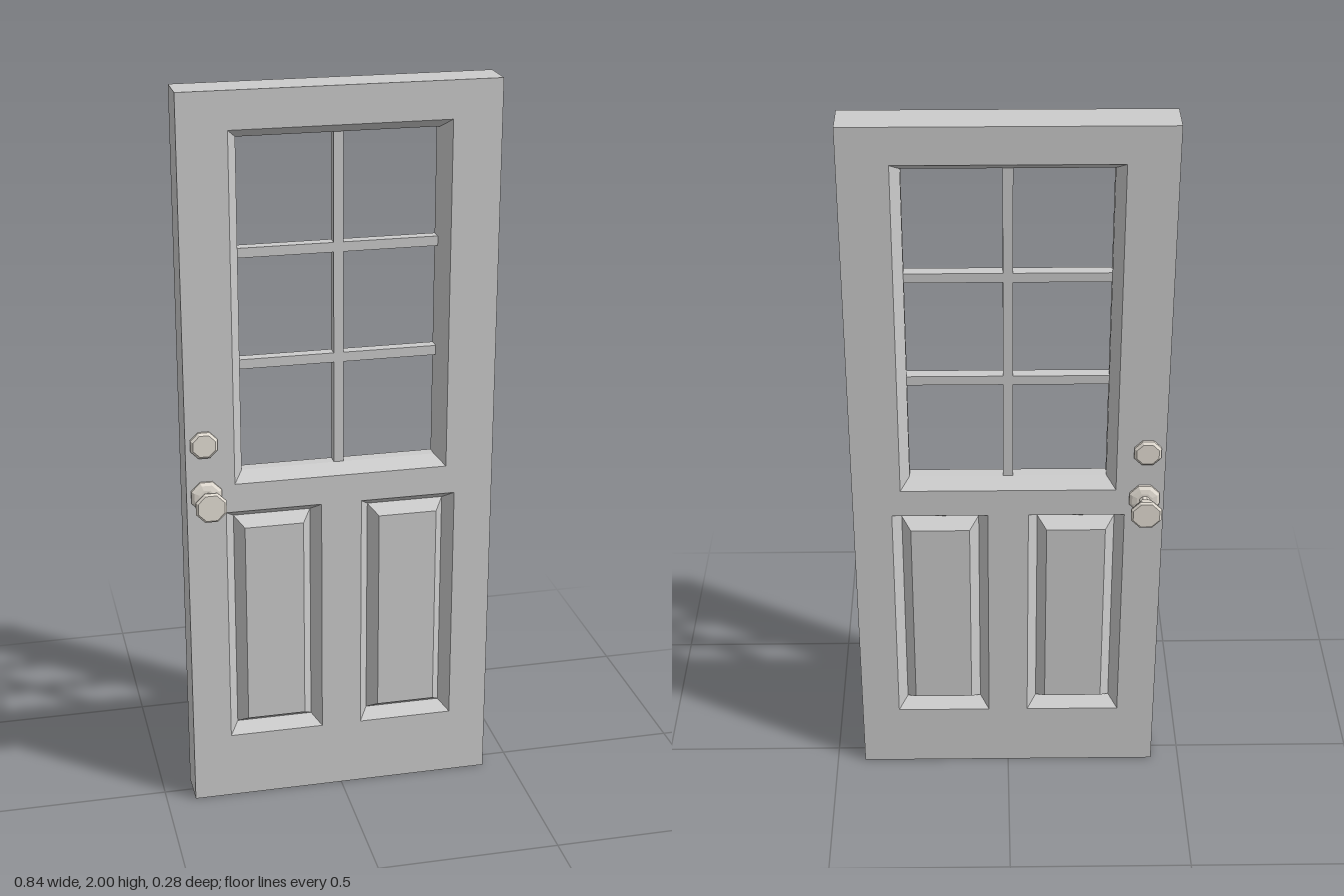
import * as THREE from 'three';

const W = 0.42, H = 2, D = 0.053; // half width, height, half thickness
const WINDOW = [-0.29, 0.29, 0.95, 1.9];
const PANELS = [[-0.315, -0.055, 0.19, 0.87], [0.055, 0.315, 0.19, 0.87]];
const BEVEL = 0.025, REVEAL = 0.016;

const doorMat = new THREE.MeshStandardMaterial({ color: 0xcccccc, flatShading: true });
const metalMat = new THREE.MeshStandardMaterial({ color: 0xe6e0d6, flatShading: true });

function add(parent, name, geometry, material, x = 0, y = 0, z = 0) {
  const mesh = new THREE.Mesh(geometry, material);
  mesh.name = name;
  mesh.position.set(x, y, z);
  parent.add(mesh);
  return mesh;
}

const inset = ([x0, x1, y0, y1], d) => [x0 + d, x1 - d, y0 + d, y1 - d];

const corners = ([x0, x1, y0, y1]) => [[x0, y0], [x1, y0], [x1, y1], [x0, y1]];

// Mitred frame: joins successive rectangles, each given as [rect, z]
function loftRects(loops) {
  const pos = [];
  for (let i = 0; i < loops.length - 1; i++) {
    const a = corners(loops[i][0]).map(p => [...p, loops[i][1]]);
    const b = corners(loops[i + 1][0]).map(p => [...p, loops[i + 1][1]]);
    for (let j = 0; j < 4; j++) {
      const k = (j + 1) % 4;
      pos.push(...a[j], ...a[k], ...b[k], ...a[j], ...b[k], ...b[j]);
    }
  }
  const g = new THREE.BufferGeometry();
  g.setAttribute('position', new THREE.Float32BufferAttribute(pos, 3));
  g.computeVertexNormals();
  return g;
}

function rectPoints(rect) {
  return corners(rect).map(([x, y]) => new THREE.Vector2(x, y));
}

// One side of the door: flat face, window bevel and grooved panels
function doorFace(name) {
  const face = new THREE.Group();
  face.name = name;

  const shape = new THREE.Shape(rectPoints([-W, W, 0, H]));
  for (const r of [WINDOW, ...PANELS]) shape.holes.push(new THREE.Path(rectPoints(r).reverse()));
  add(face, 'faceBoard', new THREE.ShapeGeometry(shape), doorMat, 0, 0, D);

  const opening = inset(WINDOW, BEVEL);
  add(face, 'windowBevel', loftRects([[WINDOW, D], [opening, REVEAL], [opening, 0]]), doorMat);

  for (const panel of PANELS) {
    const field = inset(panel, BEVEL * 2);
    add(face, 'panelGroove',
      loftRects([[panel, D], [inset(panel, BEVEL), D - 0.036], [field, D]]), doorMat);
    add(face, 'panelField', new THREE.ShapeGeometry(new THREE.Shape(rectPoints(field))), doorMat, 0, 0, D);
  }
  return face;
}

// Eight-sided turned part pointing along +z, from [radius, z] pairs
function turned(profile) {
  const g = new THREE.LatheGeometry(profile.map(p => new THREE.Vector2(...p)), 8, Math.PI / 8);
  return g.rotateX(Math.PI / 2);
}

// Knob and deadbolt for one side
function hardware(side) {
  const set = new THREE.Group();
  set.name = side + 'Hardware';
  const turn = side === 'front' ? 0 : Math.PI;
  const rose = [[0.044, D], [0.044, 0.059], [0.036, 0.065], [0.022, 0.068], [0, 0.068]];
  const knob = [[0.015, 0.066], [0.015, 0.093], [0.024, 0.095], [0.044, 0.131],
    [0.044, 0.135], [0.038, 0.14], [0, 0.14]];
  const bolt = [[0.039, D], [0.039, 0.06], [0.032, 0.066], [0, 0.066]];
  add(set, 'knobRose', turned(rose), metalMat, -0.367, 0.924).rotation.y = turn;
  add(set, 'knob', turned(knob), metalMat, -0.367, 0.924).rotation.y = turn;
  add(set, 'deadbolt', turned(bolt), metalMat, -0.371, 1.07).rotation.y = turn;
  return set;
}

export function createModel() {
  const door = new THREE.Group();
  door.name = 'door';

  // Slab: outer edges and two matching faces
  const outline = [-W, W, 0, H];
  add(door, 'slabEdges', loftRects([[outline, -D], [outline, D]]), doorMat);
  const back = doorFace('backFace');
  back.rotation.y = Math.PI;
  door.add(doorFace('frontFace'), back);

  // Window bars
  const [x0, x1, y0, y1] = inset(WINDOW, BEVEL);
  const bar = 0.026, depth = REVEAL * 2;
  add(door, 'verticalBar', new THREE.BoxGeometry(bar, y1 - y0, depth), doorMat, 0, (y0 + y1) / 2);
  const half = x1 - bar / 2;
  for (const y of [1.272, 1.573]) {
    for (const s of [-1, 1]) {
      add(door, 'horizontalBar', new THREE.BoxGeometry(half, bar, depth), doorMat, s * (bar / 2 + half / 2), y);
    }
  }

  door.add(hardware('front'), hardware('back'));
  return door;
}
